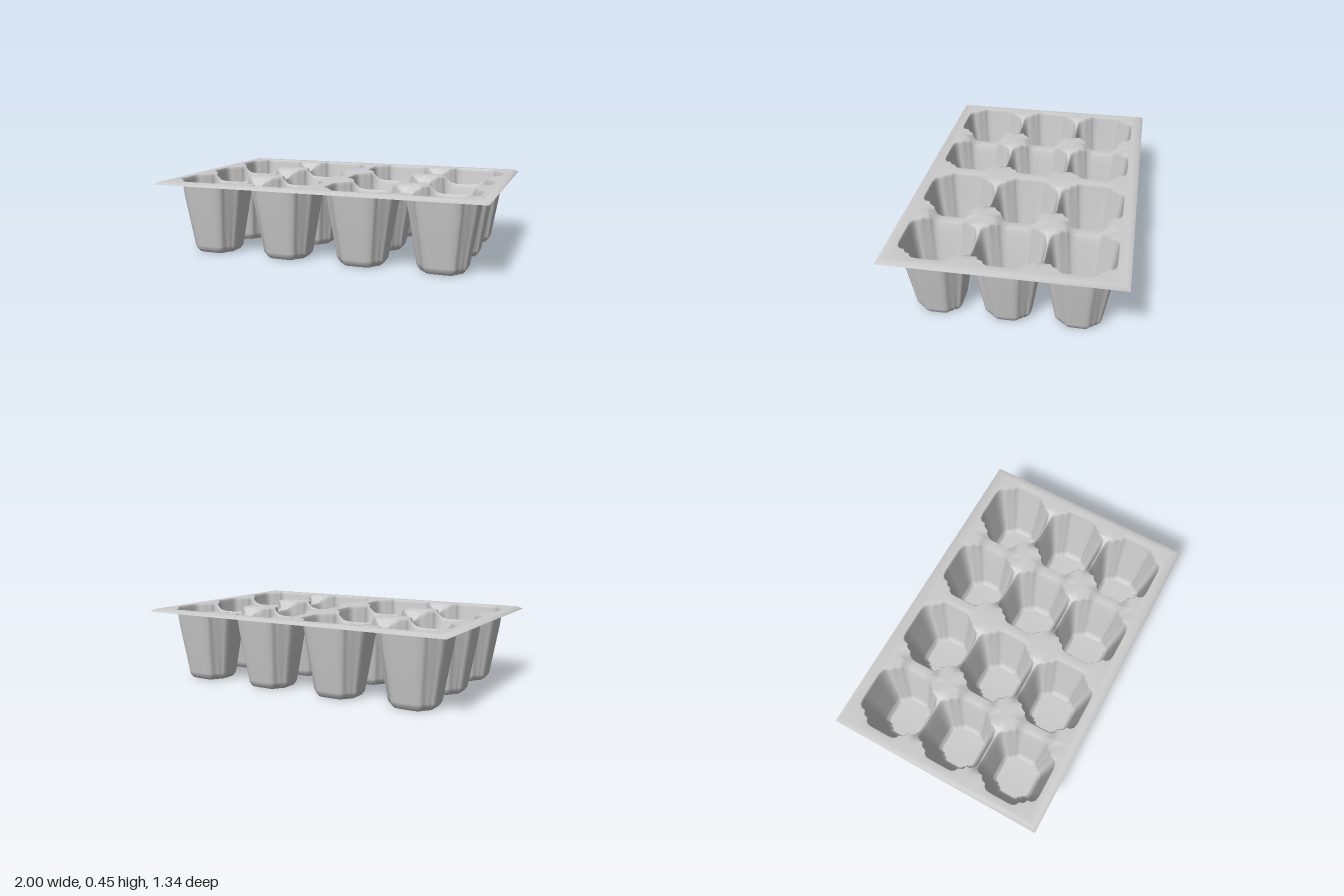
import * as THREE from 'three';

const TOP = 0.45, CELL_X = 0.24, CELL_Z = 0.2;
const material = new THREE.MeshStandardMaterial({ color: 0xcccccc, side: THREE.DoubleSide });

// One quarter of the notched cup outline, mirrored to the full loop
const quarter = [
  [0.205, 0], [0.205, 0.03], [0.205, 0.055], [0.203, 0.08], [0.191, 0.1], [0.173, 0.107],
  [0.162, 0.135], [0.14, 0.145], [0.136, 0.168], [0.12, 0.185], [0.085, 0.192], [0.05, 0.192], [0.025, 0.192], [0, 0.192],
];
const back = quarter.slice(1, -1).reverse();
const outline = [
  ...quarter,
  ...back.map(([x, z]) => [-x, z]),
  ...quarter.slice().reverse().slice(1).map(([x, z]) => [-x, z]).slice(-1),
  ...quarter.slice(1).map(([x, z]) => [-x, -z]),
  ...back.map(([x, z]) => [x, -z]),
];

// Joins equal-length loops from the outside in, optionally closing the last one
function skin(rings, closed) {
  const n = rings[0].length, index = [];
  const points = rings.flat();
  for (let r = 0; r < rings.length - 1; r++) {
    for (let i = 0; i < n; i++) {
      const j = (i + 1) % n, a = r * n + i, b = r * n + j;
      index.push(a, a + n, b, b, a + n, b + n);
    }
  }
  if (closed) {
    const last = (rings.length - 1) * n, centre = points.length;
    points.push([0, rings[rings.length - 1][0][1], 0]);
    for (let i = 0; i < n; i++) index.push(last + i, centre, last + (i + 1) % n);
  }
  const g = new THREE.BufferGeometry();
  g.setAttribute('position', new THREE.Float32BufferAttribute(points.flat(), 3));
  g.setIndex(index);
  g.computeVertexNormals();
  return g;
}

// Deck height inside a cell: it sags into a saddle where two cups are neighbours
function deckHeight(x, z, open) {
  const ss = THREE.MathUtils.smoothstep;
  let dip = 0;
  if (x > 0 ? open.right : open.left)
    dip = Math.max(dip, ss(Math.abs(x), 0.1, 0.18) * (1 - ss(Math.abs(z), 0.06, 0.13)));
  if (z > 0 ? open.front : open.back)
    dip = Math.max(dip, ss(Math.abs(z), 0.1, 0.17) * (1 - ss(Math.abs(x), 0.07, 0.15)));
  return TOP - 0.05 * dip;
}

function cupGeometry(open) {
  // Deck around the cup, reaching the edges of its cell
  const rings = [outline.map(([x, z]) => {
    const k = 1 / Math.max(Math.abs(x) / CELL_X, Math.abs(z) / CELL_Z);
    return [x * k, deckHeight(x * k, z * k, open), z * k];
  })];
  // Rolled rim
  for (const [s, drop] of [[1.03, 0], [1.012, 0.005], [0.995, 0.02]])
    rings.push(outline.map(([x, z]) => [x * s, deckHeight(x, z, open) - drop, z * s]));
  // Tapered wall and rounded foot
  for (const [s, y] of [[0.94, 0.34], [0.82, 0.19], [0.7, 0.042], [0.68, 0.025], [0.6, 0.003], [0.57, 0]])
    rings.push(outline.map(([x, z]) => [x * s, y, z * s]));
  return skin(rings, true);
}

export function createModel() {
  const tray = new THREE.Group();
  tray.name = 'seedlingTray';

  // Four by three cups; the middle rib between the two halves stays level
  for (let c = 0; c < 4; c++) {
    for (let r = 0; r < 3; r++) {
      const open = { right: c % 2 === 0, left: c % 2 === 1, front: r < 2, back: r > 0 };
      const cup = new THREE.Mesh(cupGeometry(open), material);
      cup.name = `cup${c + 1}_${r + 1}`;
      cup.position.set((c - 1.5) * 2 * CELL_X, 0, (r - 1) * 2 * CELL_Z);
      tray.add(cup);
    }
  }

  // Border flange with a sloping lip
  const loop = (x, z, y) => [[x, y, -z], [x, y, z], [-x, y, z], [-x, y, -z]];
  const flange = skin([loop(1, 0.67, 0.434), loop(0.972, 0.645, TOP), loop(0.96, 0.6, TOP)], false);
  const border = new THREE.Mesh(flange, material);
  border.name = 'borderFlange';
  tray.add(border);
  return tray;
}
